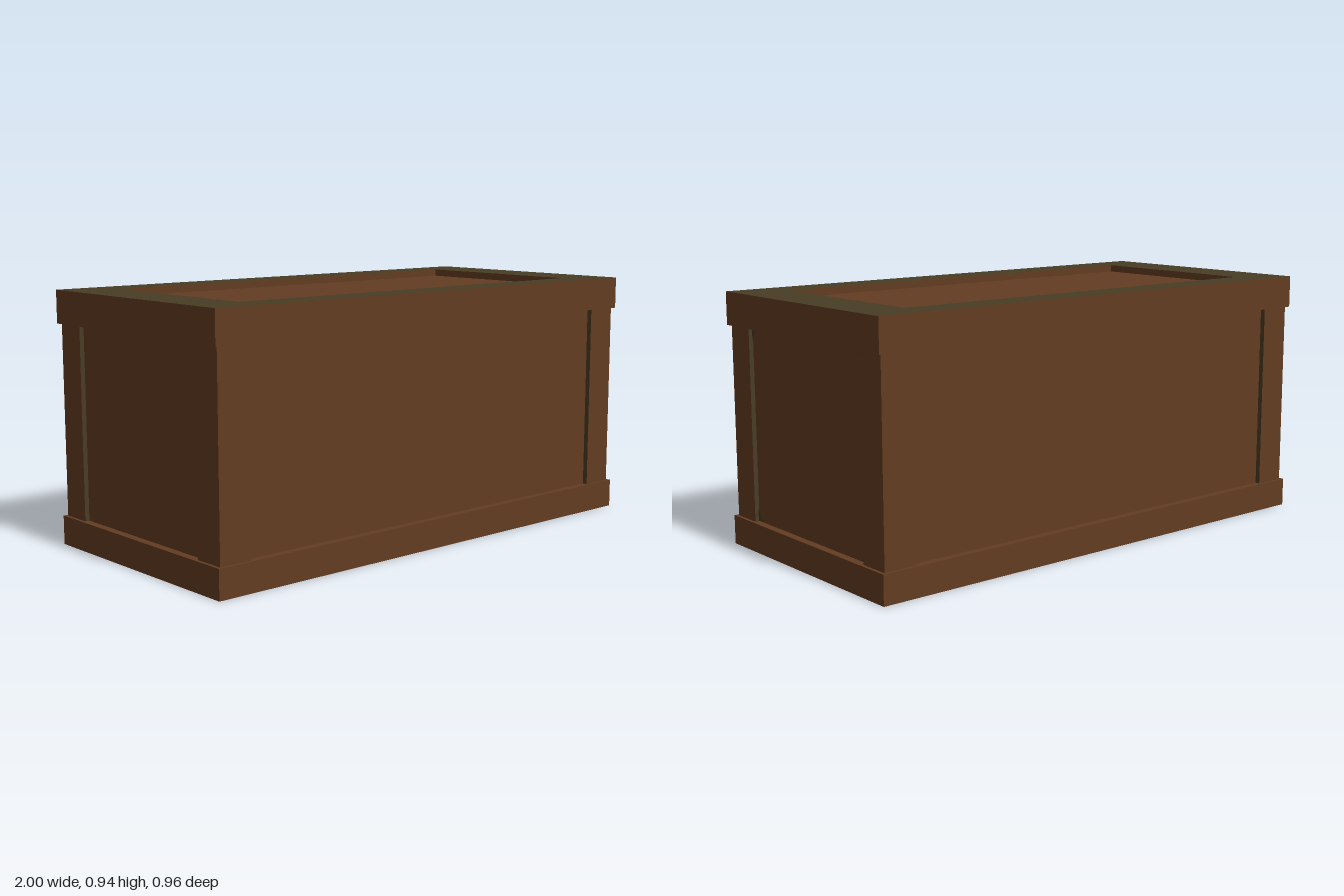
import * as THREE from 'three';

const wood = new THREE.MeshStandardMaterial({ name: 'brown wood', color: 0x623c21 });
const olive = new THREE.MeshStandardMaterial({ name: 'olive trim', color: 0x483c24 });

// Rectangular ring lying flat: olive on its outward (upper) face, wood elsewhere
function makeFrame(name, height) {
  const rect = (T, x, z) => new T([[-x, -z], [x, -z], [x, z], [-x, z]].map(p => new THREE.Vector2(...p)));
  const shape = rect(THREE.Shape, 1, 0.48);
  shape.holes.push(rect(THREE.Path, 0.81, 0.355));
  const geo = new THREE.ExtrudeGeometry(shape, { depth: height, bevelEnabled: false });
  const [caps, sides] = geo.groups.map(g => ({ ...g }));
  geo.clearGroups();
  geo.addGroup(0, caps.count / 2, 0);
  geo.addGroup(caps.count / 2, caps.count / 2, 1);
  geo.addGroup(sides.start, sides.count, 0);
  geo.rotateX(-Math.PI / 2);
  const mesh = new THREE.Mesh(geo, [wood, olive]);
  mesh.name = name;
  return mesh;
}

export function createModel() {
  const group = new THREE.Group();
  group.name = 'chest';

  // Recessed panels on all six sides are the faces of one inner box
  const panels = new THREE.Mesh(new THREE.BoxGeometry(1.94, 0.89, 0.9), wood);
  panels.name = 'panels';
  panels.position.y = 0.47;
  group.add(panels);

  // Lid and base frames
  const lid = makeFrame('lidFrame', 0.122);
  lid.position.y = 0.82;
  const base = makeFrame('baseFrame', 0.108);
  base.rotation.x = Math.PI;
  base.position.y = 0.108;
  group.add(lid, base);

  // Corner posts, olive on the faces that turn in towards the panels
  for (const sx of [-1, 1]) {
    for (const sz of [-1, 1]) {
      const mats = [
        sx < 0 ? olive : wood, sx > 0 ? olive : wood, wood, wood,
        sz < 0 ? olive : wood, sz > 0 ? olive : wood,
      ];
      const post = new THREE.Mesh(new THREE.BoxGeometry(0.125, 0.73, 0.12), mats);
      post.name = 'cornerPost';
      post.position.set(sx * 0.9245, 0.464, sz * 0.409);
      group.add(post);
    }
  }

  // Small worn patches in the corners of one end panel
  for (const sz of [-1, 1]) {
    for (const sy of [-1, 1]) {
      const tri = new THREE.Shape([[0, 0], [-0.035 * sz, 0], [0, -0.045 * sy]]
        .map(p => new THREE.Vector2(...p)));
      const patch = new THREE.Mesh(new THREE.ShapeGeometry(tri), olive);
      patch.name = 'cornerPatch';
      patch.rotation.y = Math.PI / 2;
      patch.position.set(0.973, 0.464 + sy * 0.354, -sz * 0.349);
      group.add(patch);
    }
  }
  return group;
}
